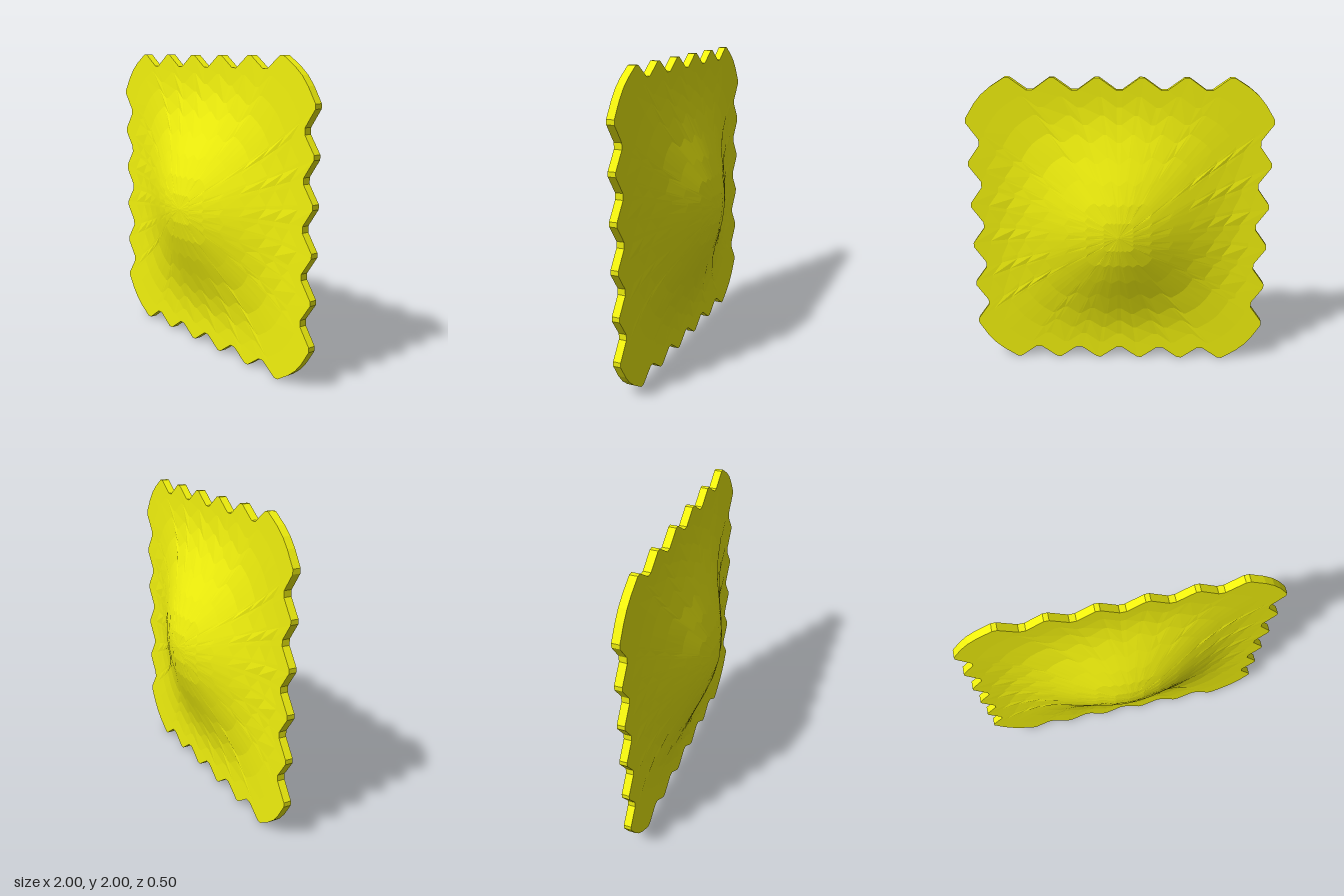
import * as THREE from 'three';

// Scalloped outline, counterclockwise: one edge and its corner, turned four times
function outline() {
  const edge = [];
  for (let k = 0; k < 6; k++) {
    const x = 0.72 - 0.288 * k;
    edge.push([x + 0.015, 1], [x - 0.015, 1]);
    if (k < 5) edge.push([x - 0.124, 0.922], [x - 0.164, 0.922]);
  }
  edge.push([-0.83, 0.94], [-0.89, 0.89], [-0.94, 0.83]);
  const points = [];
  for (let turn = 0; turn < 4; turn++) {
    const a = turn * Math.PI / 2, c = Math.cos(a), s = Math.sin(a);
    for (const [x, y] of edge) points.push([x * c - y * s, x * s + y * c]);
  }
  return points;
}

// Half thickness: thin flat rim rising to a soft central mound
const bump = t => Math.abs(t) < 0.86 ? Math.cos(Math.PI * t / 1.72) ** 2 : 0;
const halfThickness = (x, y) => 0.025 + 0.225 * bump(x) * bump(y);

// Rings run from the front centre over the rim to the back centre
function pillowGeometry() {
  const points = outline(), n = points.length;
  const scales = [0, 0.1, 0.22, 0.36, 0.5, 0.64, 0.76, 0.88, 1];
  const rings = [
    ...scales.map(s => [s, 1]),
    ...scales.slice().reverse().map(s => [s, -1]),
  ];
  const positions = [], index = [];
  rings.forEach(([s, side], r) => {
    for (let i = 0; i < n; i++) {
      const x = points[i][0] * s, y = points[i][1] * s;
      positions.push(x, y + 1, side * halfThickness(x, y));
      if (r === rings.length - 1) continue;
      const a = r * n + i, b = r * n + (i + 1) % n;
      if (rings[r + 1][0] > 0) index.push(a, a + n, b + n);
      if (s > 0) index.push(a, b + n, b);
    }
  });
  const geometry = new THREE.BufferGeometry();
  geometry.setAttribute('position', new THREE.Float32BufferAttribute(positions, 3));
  geometry.setIndex(index);
  geometry.computeVertexNormals();
  return geometry;
}

export function createModel() {
  const group = new THREE.Group();
  group.name = 'filledPasta';
  const material = new THREE.MeshStandardMaterial({ color: 0xf2f20d, flatShading: true });
  const pillow = new THREE.Mesh(pillowGeometry(), material);
  pillow.name = 'pastaPillow';
  group.add(pillow);
  return group;
}
